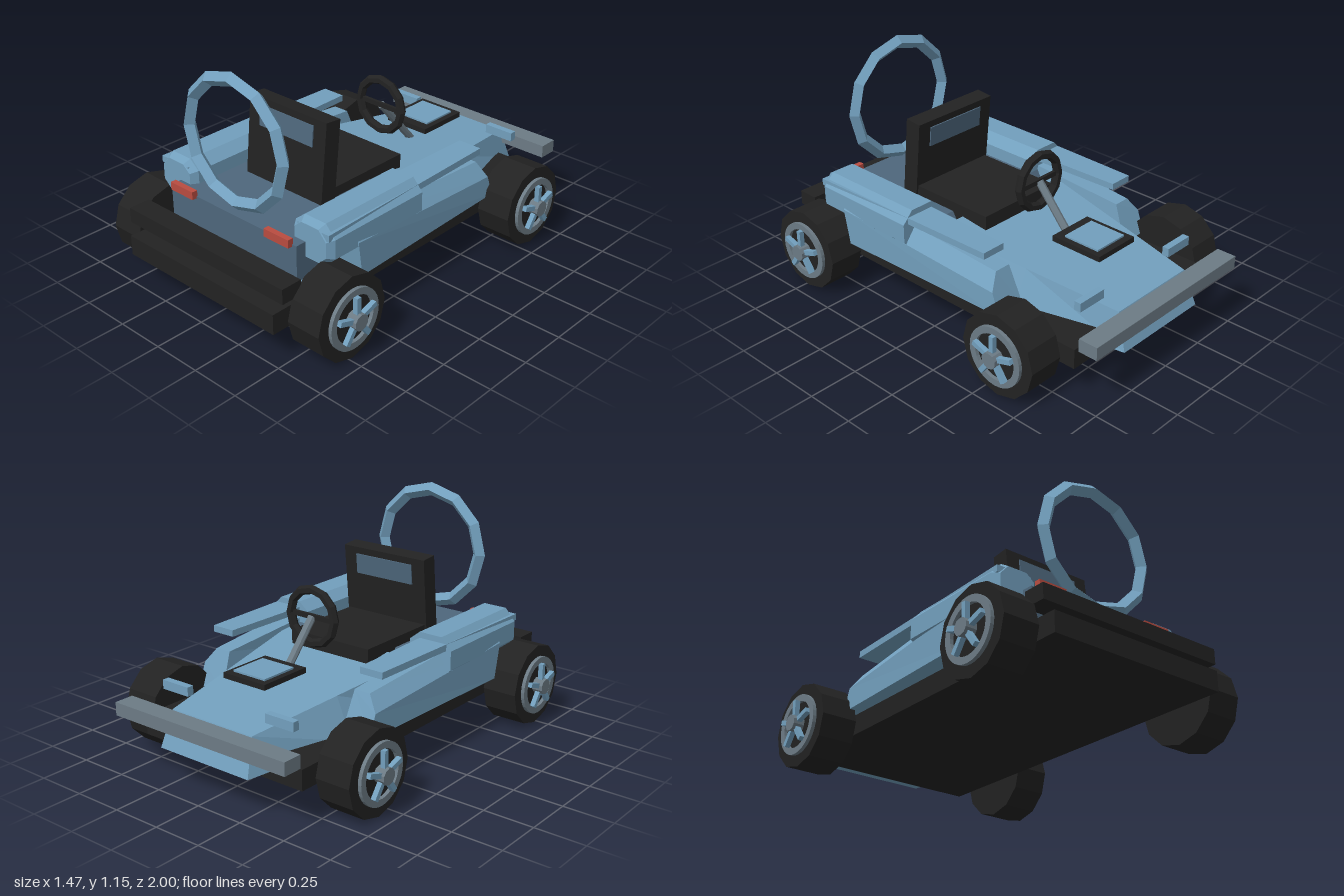
import * as THREE from 'three';

const paint = (name, color) => {
  const m = new THREE.MeshStandardMaterial({ color, flatShading: true });
  m.name = name;
  return m;
};

export function createModel() {
  const root = new THREE.Group();
  root.name = 'goKart';
  const blue = paint('bodyBlue', 0x729fbd);
  const slate = paint('deckSlate', 0x4e677c);
  const black = paint('rubberBlack', 0x222222);
  const grey = paint('metalGrey', 0x6c7b85);
  const red = paint('tailLightRed', 0xb94c40);

  const add = (name, geo, mat, parent = root) => {
    const m = new THREE.Mesh(geo, mat);
    m.name = name;
    parent.add(m);
    return m;
  };
  // Box given by its min and max on each axis
  const box = (name, mat, [x0, x1], [y0, y1], [z0, z1], parent) => {
    const m = add(name, new THREE.BoxGeometry(x1 - x0, y1 - y0, z1 - z0), mat, parent);
    m.position.set((x0 + x1) / 2, (y0 + y1) / 2, (z0 + z1) / 2);
    return m;
  };
  // Skin between rings of points, with closed ends; rings run front (-z) to back,
  // counter-clockwise as seen from +z
  const loft = (rings) => {
    const n = rings[0].length, pos = [];
    const tri = (...p) => p.forEach((q) => pos.push(...q));
    for (let r = 0; r + 1 < rings.length; r++) {
      for (let i = 0; i < n; i++) {
        const j = (i + 1) % n, a = rings[r], b = rings[r + 1];
        tri(a[i], a[j], b[j]);
        tri(a[i], b[j], b[i]);
      }
    }
    const f = rings[0], l = rings[rings.length - 1];
    for (let i = 1; i + 1 < n; i++) {
      tri(f[0], f[i + 1], f[i]);
      tri(l[0], l[i], l[i + 1]);
    }
    const g = new THREE.BufferGeometry();
    g.setAttribute('position', new THREE.Float32BufferAttribute(pos, 3));
    g.computeVertexNormals();
    return g;
  };
  // Mirror a right-hand ring to the other side, keeping its direction
  const sided = (ring, s) => {
    const r = ring.map(([x, y, z]) => [x * s, y, z]);
    return s < 0 ? r.reverse() : r;
  };

  // Chassis, bumpers and axles
  box('chassis', black, [-0.475, 0.475], [0.16, 0.26], [-0.85, 1]);
  box('rearBumper', black, [-0.505, 0.505], [0.31, 0.385], [0.86, 0.97]);
  box('frontWing', grey, [-0.51, 0.51], [0.295, 0.36], [-1, -0.9]);
  box('floorPan', blue, [-0.43, 0.43], [0.262, 0.295], [-0.4, 0.77]);
  for (const z of [0.73, -0.585]) {
    const axle = add('axle', new THREE.CylinderGeometry(0.027, 0.027, 1.36, 8), grey);
    axle.rotation.z = Math.PI / 2;
    axle.position.set(0, 0.21, z);
  }

  // Sloping hood and nose
  const hoodRing = (z, top, y, zLow, low, yLow) => [
    [-low, yLow, zLow], [low, yLow, zLow], [top, y, z], [-top, y, z],
  ];
  add('hood', loft([
    hoodRing(-0.9, 0.24, 0.365, -0.96, 0.265, 0.19),
    hoodRing(-0.42, 0.315, 0.417, -0.42, 0.4, 0.22),
    hoodRing(0.065, 0.39, 0.47, 0.065, 0.42, 0.24),
  ]), blue);

  // Rear deck with a bevelled leading edge
  const deck = new THREE.Shape([
    [-0.06, 0.285], [-0.06, 0.36], [-0.13, 0.475], [-0.79, 0.475], [-0.79, 0.285],
  ].map(([a, b]) => new THREE.Vector2(a, b)));
  const deckGeo = new THREE.ExtrudeGeometry(deck, { depth: 0.82, bevelEnabled: false });
  deckGeo.translate(0, 0, -0.41).rotateY(Math.PI / 2);
  add('rearDeck', deckGeo, slate);

  // Side panels, rails, pods and small lamps
  const podOutline = [
    [0.36, 0.38], [0.5, 0.38], [0.555, 0.43], [0.555, 0.525],
    [0.5, 0.585], [0.375, 0.585], [0.32, 0.54], [0.32, 0.42],
  ];
  const podRing = (z, k) => podOutline.map(([x, y]) => [0.44 + (x - 0.44) * k, 0.482 + (y - 0.482) * k, z]);
  for (const s of [1, -1]) {
    const side = new THREE.Group();
    side.name = s > 0 ? 'leftSide' : 'rightSide';
    root.add(side);
    const panel = [
      [[0.37, 0.27, -0.45], [0.525, 0.27, -0.45], [0.525, 0.38, -0.41], [0.47, 0.455, -0.38], [0.385, 0.455, -0.38]],
      [[0.37, 0.27, 0.56], [0.555, 0.27, 0.53], [0.56, 0.45, 0.56], [0.5, 0.53, 0.56], [0.37, 0.53, 0.56]],
    ];
    add('sidePanel', loft(panel.map((r) => sided(r, s))), blue, side);
    add('sidePod', loft([podRing(0.13, 1), podRing(0.7, 1), podRing(0.735, 0.8)].map((r) => sided(r, s))), blue, side);
    const rail = [
      [[0.39, 0.522, -0.35], [0.515, 0.522, -0.35], [0.515, 0.555, -0.35], [0.39, 0.555, -0.35]],
      [[0.36, 0.522, 0.73], [0.545, 0.522, 0.73], [0.545, 0.555, 0.73], [0.36, 0.555, 0.73]],
    ];
    add('sideRail', loft(rail.map((r) => sided(r, s))), blue, side);
    const span = (a, b) => (s > 0 ? [a, b] : [-b, -a]);
    box('tailLight', red, span(0.235, 0.385), [0.465, 0.505], [0.785, 0.815], side);
    box('frontMarker', blue, span(0.235, 0.395), [0.395, 0.44], [-0.81, -0.775], side);
  }

  // Seat with a leaning backrest
  box('seatCushion', black, [-0.235, 0.235], [0.41, 0.525], [-0.09, 0.38]);
  const back = new THREE.Group();
  back.name = 'seatBack';
  back.position.set(0, 0.67, 0.402);
  back.rotation.x = -0.1;
  root.add(back);
  box('backrest', black, [-0.245, 0.245], [-0.2, 0.2], [-0.044, 0.044], back);
  box('backrestStripe', slate, [-0.17, 0.17], [0.062, 0.165], [-0.05, 0.05], back);

  // Front panel, steering wheel and column
  box('frontPanel', black, [-0.125, 0.125], [0.478, 0.505], [-0.69, -0.41]);
  box('frontPanelInset', blue, [-0.095, 0.095], [0.505, 0.514], [-0.655, -0.46]);
  const from = new THREE.Vector3(0, 0.67, -0.215), to = new THREE.Vector3(0, 0.39, -0.46);
  const axis = from.clone().sub(to);
  const column = add('steeringColumn', new THREE.CylinderGeometry(0.02, 0.02, axis.length(), 8), grey);
  column.position.copy(from).add(to).multiplyScalar(0.5);
  column.quaternion.setFromUnitVectors(new THREE.Vector3(0, 1, 0), axis.normalize());
  const wheelRim = add('steeringWheel', new THREE.TorusGeometry(0.133, 0.023, 6, 12), black);
  wheelRim.position.set(0, 0.672, -0.212);
  box('steeringWheelSpoke', black, [-0.13, 0.13], [0.66, 0.684], [-0.22, -0.204]);

  // Roll hoop
  const hoop = add('rollHoop', new THREE.TorusGeometry(0.301, 0.035, 4, 12), blue);
  hoop.position.set(0, 0.815, 0.75);

  // Wheels: built along +z, then turned outward
  for (const s of [1, -1]) {
    for (const z of [0.73, -0.585]) {
      const wheel = new THREE.Group();
      wheel.name = (z > 0 ? 'rear' : 'front') + (s > 0 ? 'LeftWheel' : 'RightWheel');
      wheel.position.set(s * 0.59, 0.2075, z);
      wheel.rotation.y = s * Math.PI / 2;
      root.add(wheel);
      const disc = (name, r, depth, zc, mat, n) => {
        const m = add(name, new THREE.CylinderGeometry(r, r, depth, n).rotateX(Math.PI / 2), mat, wheel);
        m.position.z = zc;
      };
      disc('tyre', 0.2075, 0.18, 0, black, 12);
      const ring = new THREE.Shape().absarc(0, 0, 0.148, 0, Math.PI * 2);
      ring.holes.push(new THREE.Path().absarc(0, 0, 0.115, 0, Math.PI * 2, true));
      const rim = add('rim', new THREE.ExtrudeGeometry(ring, { depth: 0.02, bevelEnabled: false, curveSegments: 16 }), grey, wheel);
      rim.position.z = 0.088;
      for (let i = 0; i < 5; i++) {
        const spoke = add('spoke', new THREE.BoxGeometry(0.024, 0.09, 0.025).translate(0, 0.072, 0), blue, wheel);
        spoke.position.z = 0.117;
        spoke.rotation.z = (i * Math.PI * 2) / 5;
      }
      disc('hub', 0.04, 0.06, 0.115, grey, 10);
    }
  }
  return root;
}
